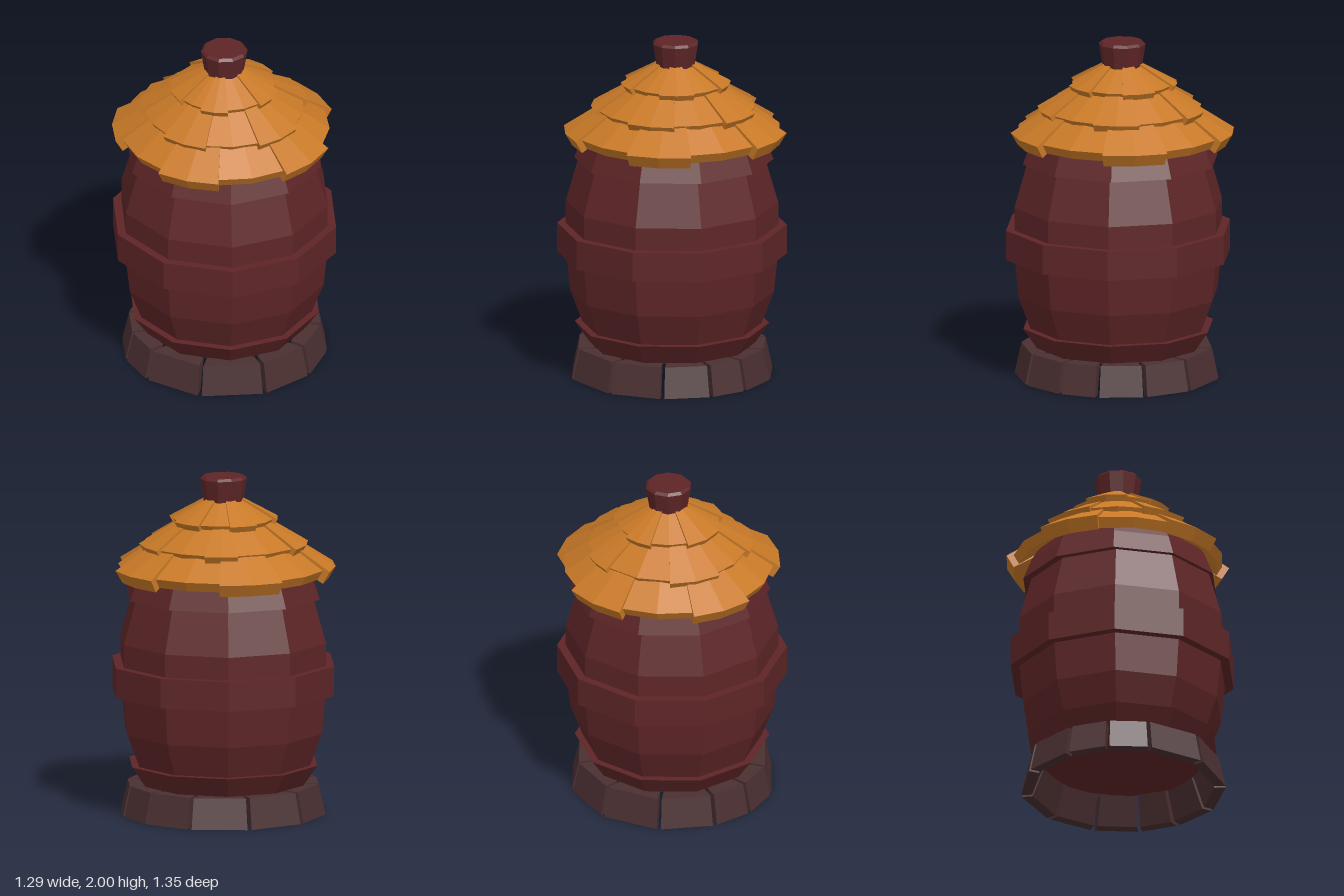
import * as THREE from 'three';

const DEG = Math.PI / 180;

// Faceted copy with one normal per face
function faceted(geometry) {
  const g = geometry.toNonIndexed();
  g.computeVertexNormals();
  return g;
}

// Ten-sided turned solid from a bottom-to-top [radius, y] profile
function turned(profile) {
  return faceted(new THREE.LatheGeometry(profile.map(([r, y]) => new THREE.Vector2(r, y)), 10));
}

// Solid block: a four-cornered [radius, y] section (counter-clockwise) swept from angle a to b
function arcBlock(section, a, b, steps) {
  const pos = [];
  const point = ([r, y], deg) => [r * Math.sin(deg * DEG), y, r * Math.cos(deg * DEG)];
  const quad = (p, q, r, s) => pos.push(...p, ...q, ...r, ...p, ...r, ...s);
  for (let k = 0; k < steps; k++) {
    const u = a + (b - a) * k / steps, v = a + (b - a) * (k + 1) / steps;
    section.forEach((p, i) => {
      const n = section[(i + 1) % 4];
      quad(point(p, u), point(p, v), point(n, v), point(n, u));
    });
  }
  quad(...section.map(p => point(p, a)));
  quad(...section.map(p => point(p, b)).reverse());
  const g = new THREE.BufferGeometry();
  g.setAttribute('position', new THREE.Float32BufferAttribute(pos, 3));
  g.computeVertexNormals();
  return g;
}

export function createModel() {
  const model = new THREE.Group();
  model.name = 'barrelHut';

  const paintedWood = new THREE.MeshStandardMaterial({ color: 0x5e2527 });
  paintedWood.name = 'darkRedWood';
  const shingle = new THREE.MeshStandardMaterial({ color: 0xc87927 });
  shingle.name = 'orangeShingle';
  const stone = new THREE.MeshStandardMaterial({ color: 0x4a2f31 });
  stone.name = 'brownStone';

  const add = (parent, name, geometry, material) => {
    const mesh = new THREE.Mesh(geometry, material);
    mesh.name = name;
    parent.add(mesh);
    return mesh;
  };

  // Bulging body
  add(model, 'body', turned([[0, 0.17], [0.475, 0.17], [0.595, 0.49], [0.62, 0.74],
    [0.62, 1.03], [0.545, 1.29], [0.47, 1.5], [0, 1.62]]), paintedWood);

  // Hoops
  add(model, 'lowerHoop', turned([[0.46, 0.18], [0.485, 0.18], [0.567, 0.3], [0.5, 0.3]]), paintedWood);
  add(model, 'middleHoop', turned([[0.6, 0.72], [0.67, 0.72], [0.67, 0.895], [0.6, 0.895]]), paintedWood);
  add(model, 'upperHoop', turned([[0.52, 1.29], [0.582, 1.29], [0.53, 1.42], [0.49, 1.49], [0.4, 1.5]]),
    paintedWood).position.z = -0.013;

  // Ring of uneven foundation stones
  const base = new THREE.Group();
  base.name = 'stoneBase';
  base.position.z = 0.005;
  model.add(base);
  const joints = [19, 51, 79, 102, 129, 158, 192, 227, 259, 283, 307, 342, 379];
  const stoneSection = [[0.535, 0], [0.6, 0], [0.56, 0.18], [0.465, 0.18]];
  for (let i = 0; i < 12; i++) {
    add(base, 'baseStone', arcBlock(stoneSection, joints[i] + 1.2, joints[i + 1] - 1.2, 1), stone);
  }

  // Roof: three rows of shingles, every second one raised
  const roof = new THREE.Group();
  roof.name = 'roof';
  roof.position.z = -0.026;
  model.add(roof);
  const rows = [
    { inner: [0.4, 1.62], raised: [0.655, 1.468], flat: [0.615, 1.472], thick: 0.085,
      seams: [-40, -7, 30, 64, 103, 137, 175, 209, 248, 281] },
    { inner: [0.22, 1.76], raised: [0.495, 1.607], flat: [0.465, 1.607], thick: 0.055,
      seams: [-50, -17, 21, 55, 93, 125, 164, 187, 236, 272] },
    { inner: [0.08, 1.875], raised: [0.322, 1.752], flat: [0.295, 1.752], thick: 0.04,
      seams: [-30, 0, 38, 76, 114, 150, 184, 215, 256, 302] },
  ];
  for (const row of rows) {
    row.seams.forEach((start, i) => {
      const up = i % 2 === 0;
      const end = i < 9 ? row.seams[i + 1] : row.seams[0] + 360;
      const [r0, y0] = row.inner;
      const [r1, y1] = up ? row.raised : row.flat;
      const lift = up ? 0.012 : 0;
      const t = up ? row.thick : row.thick * 0.75;
      const section = [[r0 - t * 0.5, y0 - t * 0.86], [r1 - t * 0.5, y1 - t * 0.86],
        [r1, y1], [r0, y0 + lift]];
      const under = up ? 0 : 1.5;
      add(roof, 'shingle', arcBlock(section, start - under, end + under, 2), shingle);
    });
  }

  // Cap with a narrow bevelled rim
  const cap = add(model, 'roofCap', turned([[0, 1.84], [0.113, 1.84], [0.137, 1.985], [0.122, 2], [0, 2]]),
    paintedWood);
  cap.position.z = -0.026;
  cap.rotation.y = 18 * DEG;

  return model;
}
